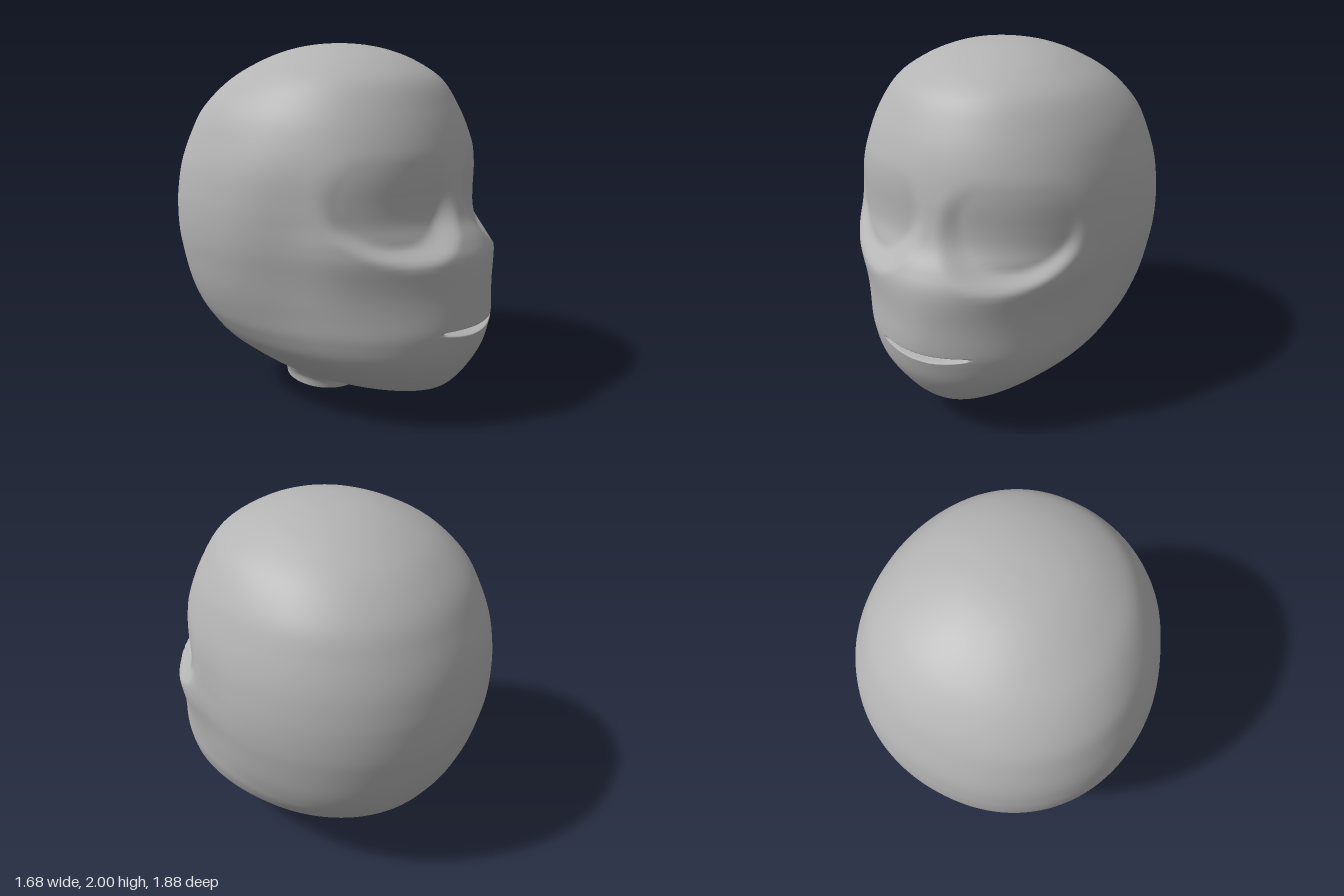
import * as THREE from 'three';

// Horizontal sections: [y, half width, front z, back z]
const SECTIONS = [
  [0, 0.235, 0.108, -0.335],
  [0.05, 0.241, 0.125, -0.337],
  [0.08, 0.25, 0.19, -0.34],
  [0.1, 0.265, 0.38, -0.345],
  [0.12, 0.285, 0.59, -0.355],
  [0.15, 0.335, 0.71, -0.375],
  [0.2, 0.42, 0.775, -0.46],
  [0.28, 0.525, 0.835, -0.6],
  [0.38, 0.635, 0.89, -0.71],
  [0.49, 0.705, 0.925, -0.785],
  [0.58, 0.745, 0.942, -0.835],
  [0.72, 0.79, 0.942, -0.888],
  [0.9, 0.825, 0.935, -0.928],
  [1, 0.837, 0.892, -0.938],
  [1.1, 0.84, 0.825, -0.938],
  [1.2, 0.835, 0.792, -0.93],
  [1.35, 0.813, 0.767, -0.9],
  [1.5, 0.767, 0.73, -0.84],
  [1.65, 0.7, 0.668, -0.755],
  [1.8, 0.578, 0.575, -0.605],
  [1.9, 0.425, 0.43, -0.44],
  [1.96, 0.28, 0.28, -0.285],
  [1.99, 0.14, 0.14, -0.14],
  [2, 0, 0, 0],
];
const MOUTH_SPAN = 9;
const COLS = 240;

const smooth = THREE.MathUtils.smoothstep;
const signedPow = (v, p) => Math.sign(v) * Math.pow(Math.abs(v), p);

// Depth of the widest point: forward at the jaw, centred at the crown
const widestZ = (y) => -0.11
  + 0.18 * smooth(y, 0.06, 0.19) * (1 - smooth(y, 0.2, 0.65))
  + 0.11 * smooth(y, 1.6, 1.96);

// Front outline exponent: more wedge-shaped around the muzzle
const roundness = (y) => 2.1 - 0.3 * Math.exp(-(((y - 0.75) / 0.28) ** 2));

// Eye sockets, temples, mouth slot and tilted neck rim, as offsets on the plain head
function sculpt(p) {
  const ax = Math.abs(p.x);
  // Neck opening slopes up to the back
  p.y += 0.05 * (0.11 - p.z) / 0.445 * (1 - smooth(p.y, 0, 0.1));
  // Temples drawn in
  const temple = Math.exp(-(((p.z - 0.3) / 0.2) ** 2) - ((p.y - 1.05) / 0.38) ** 2);
  p.x *= 1 - 0.04 * temple;
  // Sockets: crisp lower edge, fading out to the brow
  const r = Math.hypot((ax - 0.38) / 0.33, (p.y - 1.22) / 0.3);
  const fade = Math.pow(THREE.MathUtils.clamp((1.45 - p.y) / 0.47, 0, 1), 1.2);
  p.z -= 0.09 * fade * (1 - smooth(r, 0.72, 1.06)) * smooth(p.z, 0.2, 0.6);
  // Mouth slot with a curved lower lip
  if (p.z > 0.5 && ax < 0.25) {
    const low = 0.515 + 0.03 * (ax / 0.24) ** 2;
    const slot = smooth(p.y, low - 0.005, low + 0.007) * (1 - smooth(p.y, 0.549, 0.557));
    p.z -= 0.075 * slot * (1 - smooth(ax, 0.215, 0.245));
  }
  return p;
}

function headGeometry() {
  const sides = new THREE.SplineCurve(SECTIONS.map(([y, w]) => new THREE.Vector2(w, y)));
  const profile = new THREE.SplineCurve(SECTIONS.map(([, , f, b]) => new THREE.Vector2(f, b)));
  const spans = SECTIONS.length - 1;
  const positions = [], index = [];
  let rows = 0;

  const addRow = (t) => {
    const { x: width, y } = sides.getPoint(t);
    const { x: front, y: back } = profile.getPoint(t);
    const mid = widestZ(y);
    for (let c = 0; c < COLS; c++) {
      const a = (c / COLS) * Math.PI * 2, cos = Math.cos(a);
      const e = 2 / (cos > 0 ? roundness(y) : 2.12);
      const depth = cos > 0 ? front - mid : mid - back;
      const p = sculpt(new THREE.Vector3(
        width * signedPow(Math.sin(a), e), y, mid + depth * signedPow(cos, e)));
      positions.push(p.x, p.y, p.z);
    }
    rows++;
  };

  // Finer rows across the mouth
  for (let s = 0; s < spans; s++) {
    const steps = s === MOUTH_SPAN ? 30 : 5;
    for (let k = 0; k < steps; k++) addRow((s + k / steps) / spans);
  }
  addRow(1);

  for (let r = 0; r < rows - 1; r++) {
    for (let c = 0; c < COLS; c++) {
      const a = r * COLS + c, b = r * COLS + (c + 1) % COLS;
      index.push(a, b, b + COLS, a, b + COLS, a + COLS);
    }
  }
  const geometry = new THREE.BufferGeometry();
  geometry.setAttribute('position', new THREE.Float32BufferAttribute(positions, 3));
  geometry.setIndex(index);
  geometry.computeVertexNormals();
  // All points of the crown share one upward normal
  for (let c = 0; c < COLS; c++) geometry.attributes.normal.setXYZ((rows - 1) * COLS + c, 0, 1, 0);
  return geometry;
}

export function createModel() {
  const group = new THREE.Group();
  group.name = 'head';
  // Hollow shell, open at the neck
  const grey = new THREE.MeshStandardMaterial({ color: 0xb4b4b4, side: THREE.DoubleSide });
  grey.name = 'plain grey';
  const shell = new THREE.Mesh(headGeometry(), grey);
  shell.name = 'headShell';
  group.add(shell);
  return group;
}
